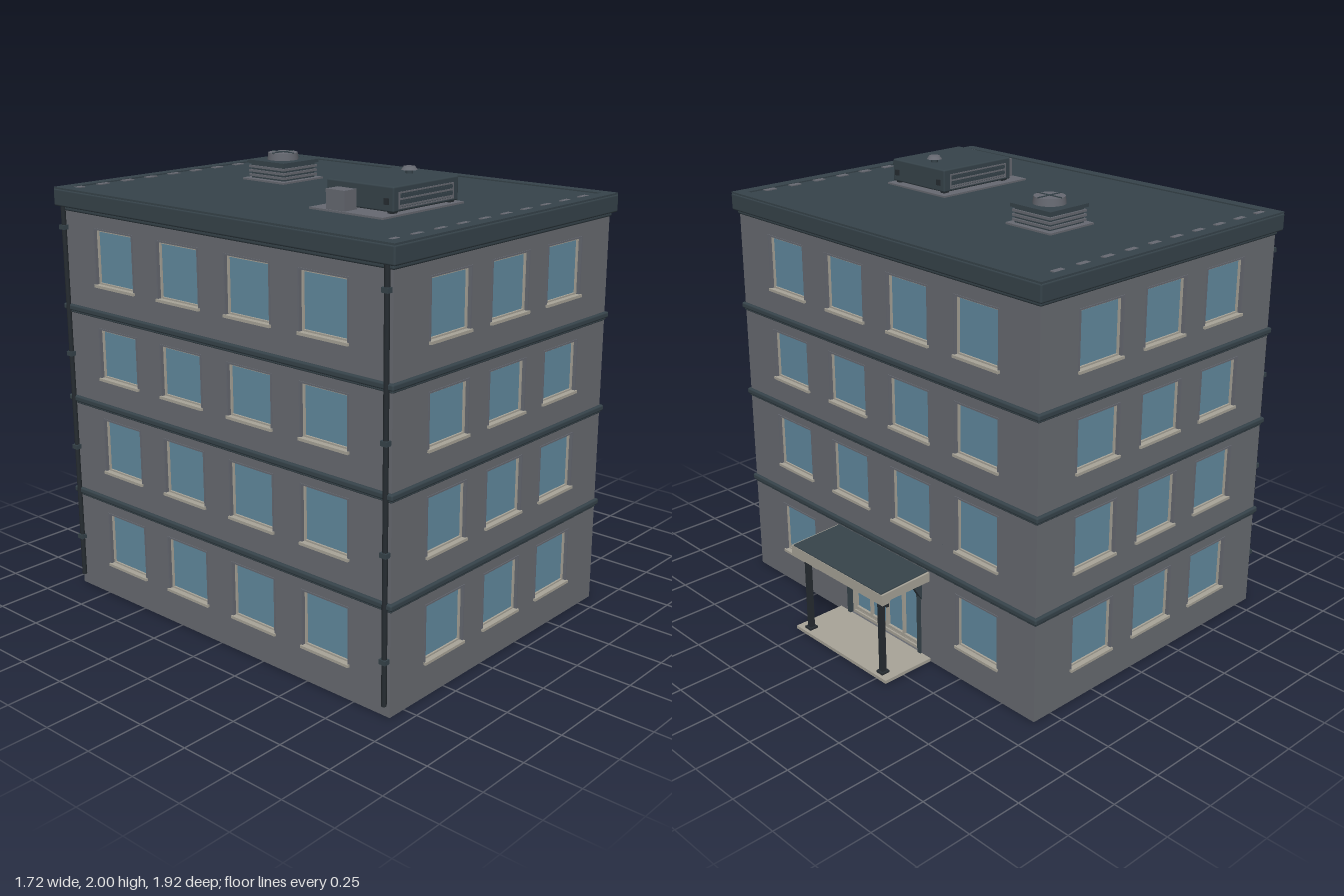
import * as THREE from 'three';
import { RoundedBoxGeometry } from 'three/addons/geometries/RoundedBoxGeometry.js';

const mat = (name, color) => {
  const m = new THREE.MeshStandardMaterial({ color });
  m.name = name;
  return m;
};

export function createModel() {
  const wallGrey = mat('wall grey', 0x686b71);
  const dark = mat('dark slate', 0x36434a);
  const glass = mat('window glass', 0x628a9f);
  const stone = mat('pale stone', 0xa8a498);
  const black = mat('near black', 0x262c31);
  const metal = mat('metal grey', 0x666971);

  const CX = -0.12, W = 1.43, D = 1.87, T = 0.04;
  const model = new THREE.Group();
  model.name = 'officeBuilding';

  const add = (parent, name, geo, m, x = 0, y = 0, z = 0) => {
    const mesh = new THREE.Mesh(geo, m);
    mesh.name = name;
    mesh.position.set(x, y, z);
    parent.add(mesh);
    return mesh;
  };
  // Box given by its minimum and maximum corners
  const box = (parent, name, m, x0, x1, y0, y1, z0, z1) =>
    add(parent, name, new THREE.BoxGeometry(x1 - x0, y1 - y0, z1 - z0), m,
      (x0 + x1) / 2, (y0 + y1) / 2, (z0 + z1) / 2);
  const cyl = (parent, name, m, r0, r1, h, x, y, z, n = 16) =>
    add(parent, name, new THREE.CylinderGeometry(r0, r1, h, n), m, x, y, z);
  const group = (parent, name) => {
    const g = new THREE.Group();
    g.name = name;
    parent.add(g);
    return g;
  };
  const rect = (Type, x0, x1, y0, y1) => {
    const s = new Type();
    s.moveTo(x0, y0).lineTo(x1, y0).lineTo(x1, y1).lineTo(x0, y1).closePath();
    return s;
  };
  // Rectangular ring of border t, extruded towards +z
  const ring = (x0, x1, y0, y1, t, depth) => {
    const s = rect(THREE.Shape, x0, x1, y0, y1);
    s.holes.push(rect(THREE.Path, x0 + t, x1 - t, y0 + t, y1 - t));
    return new THREE.ExtrudeGeometry(s, { depth, bevelEnabled: false });
  };

  // Walls with window openings; local +z points outwards
  const floors = [[0.15, 0.4], [0.6, 0.85], [1.035, 1.265], [1.455, 1.705]];
  const makeWall = (name, width, cols, hasDoor) => {
    const g = group(model, name);
    const s = rect(THREE.Shape, -width / 2, width / 2, 0, 1.8);
    floors.forEach(([y0, y1], f) => cols.forEach((cx) => {
      if (hasDoor && f === 0 && Math.abs(cx) < 0.3) return;
      const x0 = cx - 0.125, x1 = cx + 0.125;
      s.holes.push(rect(THREE.Path, x0, x1, y0, y1));
      const w = group(g, 'window');
      add(w, 'outerFrame', ring(x0 - 0.002, x1 + 0.002, y0 - 0.002, y1 + 0.002, 0.007, 0.027), metal, 0, 0, -0.024);
      add(w, 'innerFrame', ring(x0 + 0.005, x1 - 0.005, y0 + 0.005, y1 - 0.005, 0.008, 0.012), stone, 0, 0, -0.024);
      box(w, 'pane', glass, x0, x1, y0, y1, -0.03, -0.02);
      box(w, 'sill', stone, x0 - 0.003, x1 + 0.003, y0 - 0.006, y0 + 0.006, -0.02, 0.011);
    }));
    if (hasDoor) s.holes.push(rect(THREE.Path, -0.235, 0.235, 0.015, 0.385));
    add(g, 'wallPanel', new THREE.ExtrudeGeometry(s, { depth: T, bevelEnabled: false }), wallGrey, 0, 0, -T);
    return g;
  };
  const cols3 = [-0.38, 0, 0.38], cols4 = [-0.6, -0.2, 0.2, 0.6];
  const front = makeWall('frontWall', W, cols3);
  front.position.set(CX, 0, D / 2);
  const back = makeWall('backWall', W, cols3);
  back.position.set(CX, 0, -D / 2);
  back.rotation.y = Math.PI;
  const entranceWall = makeWall('entranceWall', D - 2 * T, cols4, true);
  entranceWall.position.set(CX + W / 2, 0, 0);
  entranceWall.rotation.y = Math.PI / 2;
  const plainWall = makeWall('plainWall', D - 2 * T, cols4);
  plainWall.position.set(CX - W / 2, 0, 0);
  plainWall.rotation.y = -Math.PI / 2;
  box(model, 'groundSlab', wallGrey, CX - W / 2 + 0.03, CX + W / 2 - 0.03, 0, 0.014, -D / 2 + 0.03, D / 2 - 0.03);

  // Storey bands and the trim under the roof
  const belt = (name, y0, y1, out) => add(model, name,
    new RoundedBoxGeometry(W + 2 * out, y1 - y0, D + 2 * out, 2, Math.min(0.008, (y1 - y0) / 3)),
    dark, CX, (y0 + y1) / 2, 0);
  [0.467, 0.91, 1.332].forEach((y) => {
    belt('storeyBand', y - 0.012, y + 0.015, 0.014);
    belt('bandUnderside', y - 0.022, y - 0.01, 0.005);
  });
  belt('roofTrim', 1.762, 1.79, 0.008);

  // Roof slab with a low rim
  belt('roofSlab', 1.78, 1.856, 0.025);
  const rim = add(model, 'roofRim', ring(-W / 2 - 0.022, W / 2 + 0.022, -0.957, 0.957, 0.052, 0.012), dark, CX, 1.85, 0);
  rim.rotation.x = -Math.PI / 2;
  for (const z of [-0.888, 0.888])
    for (let i = 0; i < 10; i++) {
      const x = -0.78 + i * 0.1375;
      box(model, 'roofVentSlot', metal, x - 0.028, x + 0.028, 1.855, 1.86, z - 0.014, z + 0.014);
    }

  // Drainpipes on the plain side
  for (const z of [-0.915, 0.915]) {
    const p = group(model, 'drainpipe');
    cyl(p, 'pipe', black, 0.011, 0.011, 1.73, -0.846, 0.915, z, 10);
    for (const y of [0.24, 0.68, 1.12, 1.69])
      box(p, 'pipeClip', dark, -0.861, -0.833, y - 0.01, y + 0.01, z - 0.016, z + 0.016);
  }

  // Entrance: glazed double door in the wall opening
  const door = group(entranceWall, 'entranceDoor');
  box(door, 'doorGlass', glass, -0.235, 0.235, 0.015, 0.385, -0.036, -0.03);
  add(door, 'doorFrame', ring(-0.235, 0.235, 0.015, 0.385, 0.013, 0.025), stone, 0, 0, -0.034);
  box(door, 'transom', stone, -0.225, 0.225, 0.309, 0.32, -0.032, -0.012);
  box(door, 'doorCloser', black, -0.018, 0.018, 0.325, 0.36, -0.03, -0.01);
  for (const s of [-1, 1]) {
    const leaf = [0.001, 0.112].map((x) => (s > 0 ? [x, x + 0.11] : [-x - 0.11, -x]));
    for (const [a, b] of leaf)
      add(door, 'doorLeaf', ring(a, b, 0.026, 0.312, 0.006, 0.014), stone, 0, 0, -0.031);
    box(door, 'leafFoot', stone, Math.min(0, s * 0.222), Math.max(0, s * 0.222), 0.026, 0.045, -0.031, -0.018);
    box(door, 'doorHandle', black, s * 0.01 - 0.006, s * 0.01 + 0.006, 0.14, 0.25, -0.018, -0.004);
    box(door, 'doorJamb', dark, s * 0.242 - 0.01, s * 0.242 + 0.01, 0.015, 0.39, -0.03, 0.008);
  }

  // Entrance canopy, posts and landing
  const porch = group(entranceWall, 'porch');
  box(porch, 'landing', stone, -0.31, 0.31, 0, 0.015, 0, 0.255);
  const side = (pts, w) => {
    const s = new THREE.Shape(pts.map(([z, y]) => new THREE.Vector2(z, y)));
    const g = new THREE.ExtrudeGeometry(s, { depth: w, bevelEnabled: false });
    return g.translate(0, 0, -w / 2).rotateY(-Math.PI / 2);
  };
  add(porch, 'canopy', side([[0, 0.393], [0.215, 0.39], [0.222, 0.377], [0.26, 0.377], [0.26, 0.426], [0, 0.436]], 0.62), stone);
  add(porch, 'canopyRoof', side([[0, 0.434], [0.258, 0.424], [0.258, 0.43], [0, 0.44]], 0.6), dark);
  for (const x of [-0.25, 0.25]) {
    box(porch, 'post', black, x - 0.011, x + 0.011, 0.015, 0.392, 0.207, 0.23);
    box(porch, 'postFoot', black, x - 0.02, x + 0.02, 0.015, 0.024, 0.198, 0.239);
    add(porch, 'bracket', side([[0, 0.285], [0.066, 0.393], [0, 0.393]], 0.022), dark, x);
  }

  // Large rooftop air handler
  const unit = group(model, 'airHandler');
  box(unit, 'unitBase', metal, -0.512, -0.002, 1.85, 1.864, 0.23, 0.612);
  for (const x of [-0.41, -0.05])
    for (const z of [0.28, 0.575]) box(unit, 'unitFoot', black, x - 0.015, x + 0.015, 1.86, 1.88, z - 0.012, z + 0.012);
  add(unit, 'unitBody', new RoundedBoxGeometry(0.41, 0.1, 0.345, 2, 0.007), dark, -0.23, 1.921, 0.428);
  for (const s of [-1, 1]) {
    const z = 0.428 + s * 0.172;
    add(unit, 'grilleFrame', ring(-0.405, -0.06, 1.882, 1.948, 0.006, 0.008), metal, 0, 0, z - 0.004);
    for (let i = 0; i < 4; i++)
      box(unit, 'louvre', i % 2 ? dark : metal, -0.4, -0.065, 1.89 + i * 0.013, 1.897 + i * 0.013, z - 0.003, z + 0.003);
    for (const x of [-0.437, -0.022])
      box(unit, 'latch', black, x - 0.006, x + 0.006, 1.9, 1.925, 0.428 + s * 0.14 - 0.01, 0.428 + s * 0.14 + 0.01);
  }
  box(unit, 'ductBox', metal, -0.506, -0.43, 1.86, 1.945, 0.315, 0.412);
  cyl(unit, 'ventStem', dark, 0.015, 0.015, 0.025, -0.112, 1.98, 0.415);
  cyl(unit, 'ventCap', metal, 0.024, 0.034, 0.014, -0.112, 1.993, 0.415);

  // Small rooftop exhaust fan
  const fan = group(model, 'exhaustFan');
  box(fan, 'fanBase', metal, -0.135, 0.122, 1.85, 1.864, -0.53, -0.276);
  box(fan, 'fanHousing', dark, -0.105, 0.095, 1.86, 1.935, -0.502, -0.302);
  for (let i = 0; i < 3; i++)
    box(fan, 'fanLouvre', metal, -0.113, 0.103, 1.872 + i * 0.019, 1.882 + i * 0.019, -0.51, -0.294);
  box(fan, 'fanLid', dark, -0.118, 0.108, 1.93, 1.945, -0.515, -0.289);
  cyl(fan, 'fanCowl', metal, 0.066, 0.07, 0.032, -0.005, 1.96, -0.402, 24);
  box(fan, 'fanGuard', dark, -0.071, 0.061, 1.972, 1.979, -0.406, -0.398);
  box(fan, 'fanGuard', dark, -0.009, -0.001, 1.972, 1.979, -0.468, -0.336);

  return model;
}
